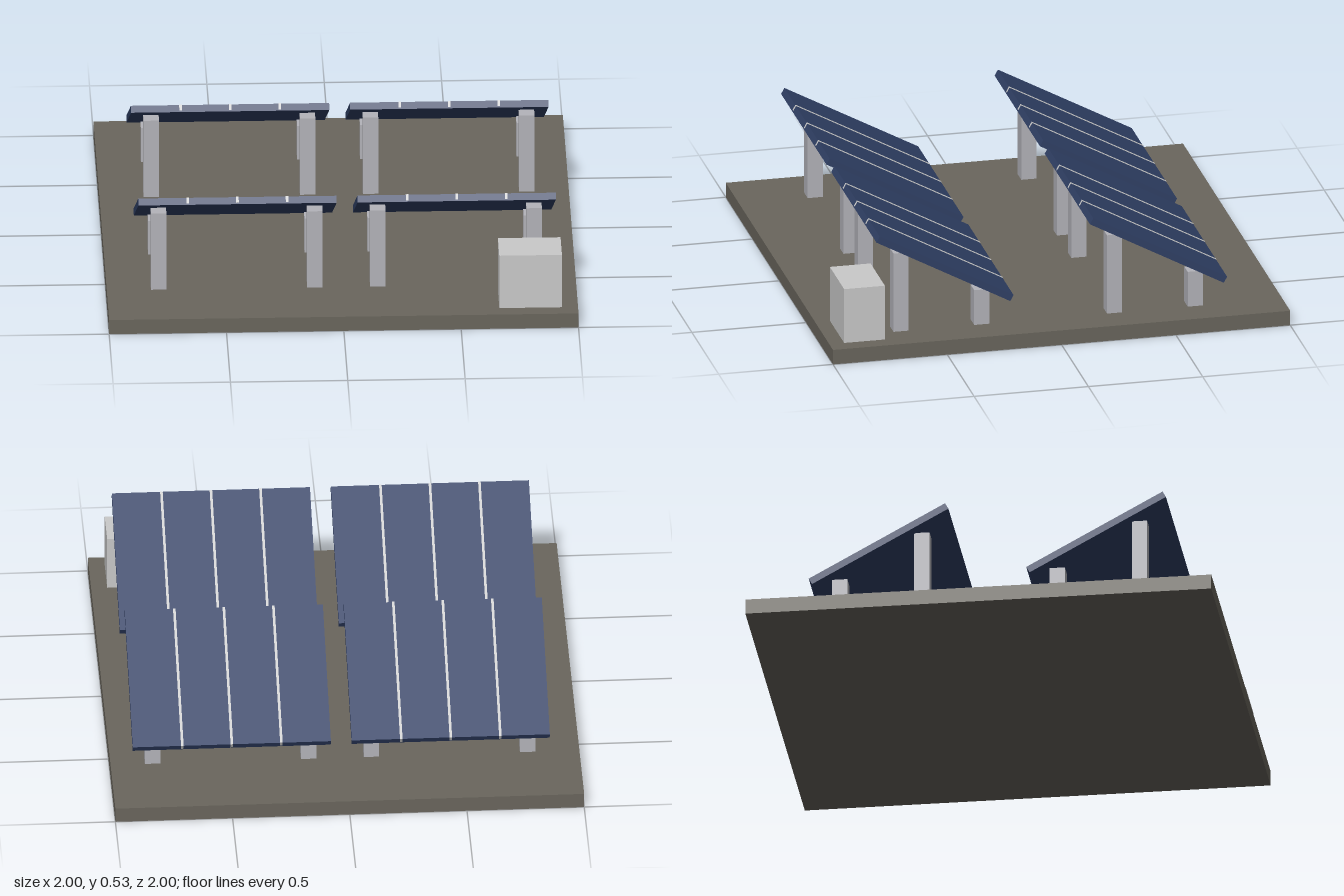
import * as THREE from 'three';

const mat = (name, hex) => {
  const m = new THREE.MeshStandardMaterial({ color: hex });
  m.name = name;
  return m;
};

function box(name, material, size, pos, parent) {
  const mesh = new THREE.Mesh(new THREE.BoxGeometry(...size), material);
  mesh.name = name;
  mesh.position.set(...pos);
  parent.add(mesh);
  return mesh;
}

export function createModel() {
  const ground = mat('earth grey', 0x6a665d);
  const cell = mat('panel blue', 0x304066);
  const divider = mat('divider light grey', 0xcccccc);
  const steel = mat('post grey', 0xb4b4ba);
  const cabinet = mat('cabinet light grey', 0xcacaca);

  const model = new THREE.Group();
  model.name = 'solarArray';

  const baseTop = 0.066;
  box('base', ground, [2, baseTop, 2], [0, baseTop / 2, 0], model);

  // Four tilted panels, each on two tall and two short posts
  const width = 0.845, length = 0.667, thick = 0.03, tilt = 0.5;
  for (const cx of [-0.446, 0.488]) {
    for (const cz of [-0.445, 0.489]) {
      const table = new THREE.Group();
      table.name = 'panelTable';
      table.position.set(cx, 0, cz);
      model.add(table);

      const panel = new THREE.Group();
      panel.name = 'panel';
      panel.position.y = 0.357;
      panel.rotation.x = -tilt; // the high edge faces the front
      table.add(panel);
      box('panelBoard', cell, [width, thick, length], [0, 0, 0], panel);

      // Thin dividers between the four columns of cells
      for (const i of [-1, 0, 1]) {
        box('panelDivider', divider, [0.011, thick - 0.004, length + 0.002],
          [i * width / 4, 0.004, 0], panel);
      }

      for (const side of [-1, 1]) {
        for (const [name, z, top] of [['tallPost', 0.179, 0.424], ['shortPost', -0.174, 0.225]]) {
          const h = top - baseTop;
          box(name, steel, [0.066, h, 0.066], [side * 0.333, baseTop + h / 2, z], table);
        }
      }
    }
  }

  // Inverter cabinet at the front left corner
  box('cabinet', cabinet, [0.267, 0.246, 0.178], [0.798, baseTop + 0.123, 0.846], model);

  return model;
}
